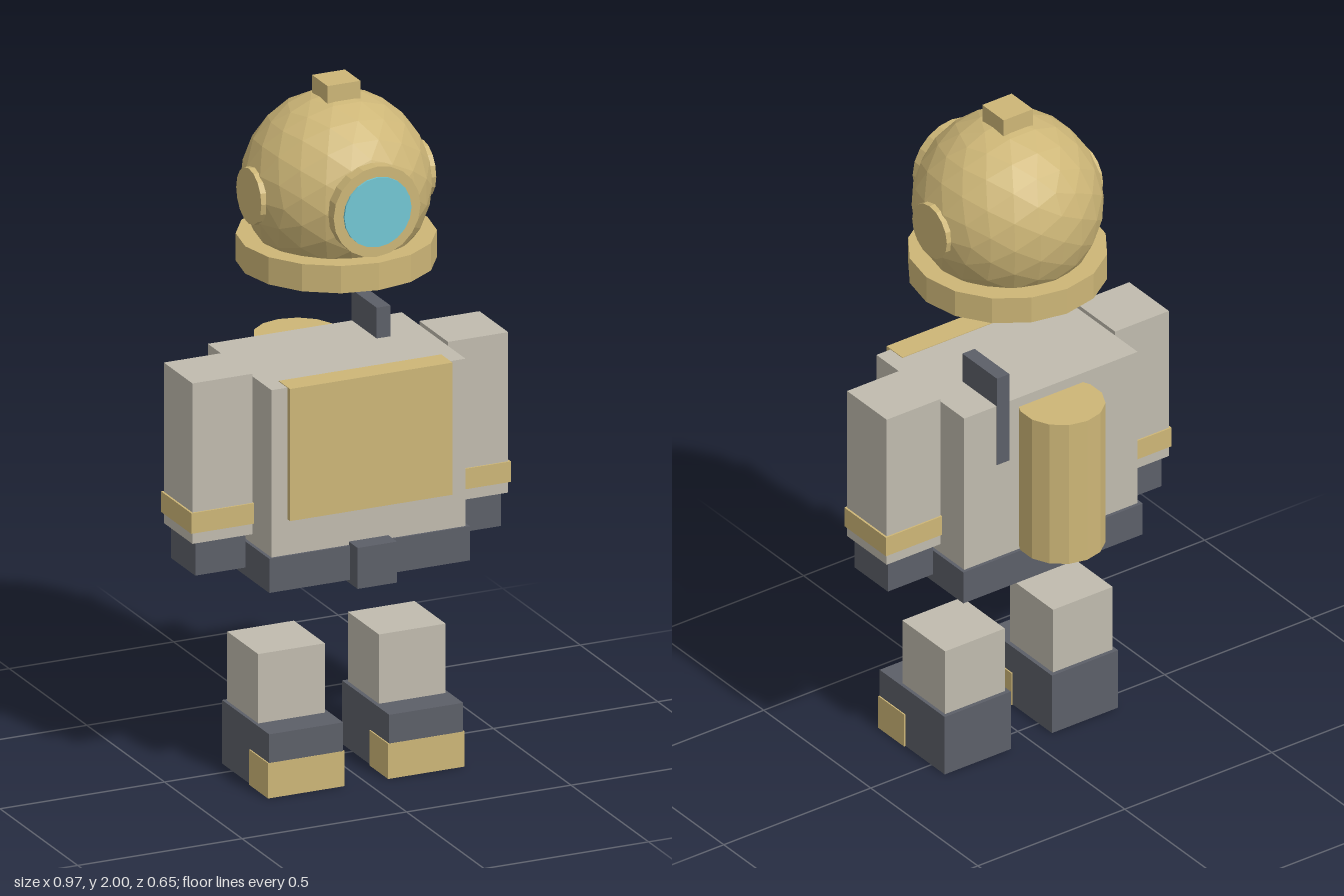
import * as THREE from 'three';

export function createModel() {
  const model = new THREE.Group();
  const mat = (color) => new THREE.MeshStandardMaterial({ color, flatShading: true });
  const brass = mat(0xcdb677), suit = mat(0xc0bbae), dark = mat(0x5c5f68), glass = mat(0x72c7d3);

  const add = (name, geometry, material, x = 0, y = 0, z = 0) => {
    const mesh = new THREE.Mesh(geometry, material);
    mesh.name = name;
    mesh.position.set(x, y, z);
    model.add(mesh);
    return mesh;
  };
  // Box given by its lower and upper bounds on each axis
  const box = (name, material, [x0, x1], [y0, y1], [z0, z1]) =>
    add(name, new THREE.BoxGeometry(x1 - x0, y1 - y0, z1 - z0), material,
      (x0 + x1) / 2, (y0 + y1) / 2, (z0 + z1) / 2);
  const disc = (r, h, sides) => new THREE.CylinderGeometry(r, r, h, sides);

  // Helmet
  const hy = 1.695, hz = 0.047;
  add('helmet', new THREE.IcosahedronGeometry(0.265, 3), brass, 0, hy, hz);
  add('collar', disc(0.277, 0.08, 16), brass, 0, 1.51, hz);
  box('helmetKnob', brass, [-0.05, 0.05], [1.93, 2], [hz - 0.05, hz + 0.05]);
  add('windowRing', disc(0.132, 0.06, 20), brass, 0, hy, 0.28).rotation.x = Math.PI / 2;
  add('windowGlass', disc(0.102, 0.03, 20), glass, 0, hy, 0.301).rotation.x = Math.PI / 2;

  // Torso, chest plate, belt
  box('torso', suit, [-0.295, 0.295], [0.62, 1.2], [-0.155, 0.255]);
  box('chestPlate', brass, [-0.247, 0.247], [0.815, 1.202], [0.2, 0.273]);
  box('belt', dark, [-0.305, 0.305], [0.61, 0.71], [-0.165, 0.262]);
  box('buckle', dark, [-0.06, 0.06], [0.6, 0.72], [0.2, 0.312]);

  // Air tank and the hose on the back
  add('airTank', disc(0.122, 0.45, 14), brass, 0, 0.945, -0.203).rotation.y = Math.PI;
  box('airHose', dark, [0.143, 0.185], [1.01, 1.29], [-0.157, 0.005]);

  // Mirrored parts
  for (const [side, s] of [['left', 1], ['right', -1]]) {
    const pair = (part, material, [a, b], y, z) =>
      box(side + part, material, s > 0 ? [a, b] : [-b, -a], y, z);

    add(side + 'SideWindow', disc(0.081, 0.03, 16), brass, s * 0.251, hy, hz).rotation.z = Math.PI / 2;

    pair('Arm', suit, [0.297, 0.48], [0.74, 1.21], [-0.047, 0.138]);
    pair('Cuff', brass, [0.292, 0.486], [0.772, 0.832], [-0.052, 0.143]);
    pair('Hand', dark, [0.312, 0.465], [0.64, 0.745], [-0.032, 0.124]);
    pair('BeltWeight', dark, [0.165, 0.285], [0.6, 0.69], [0.13, 0.21]);

    pair('Leg', suit, [0.082, 0.285], [0.17, 0.39], [-0.052, 0.148]);
    pair('Boot', dark, [0.07, 0.295], [0.001, 0.187], [-0.064, 0.24]);
    pair('ToeCap', brass, [0.066, 0.299], [0, 0.103], [0.12, 0.241]);
  }
  return model;
}
